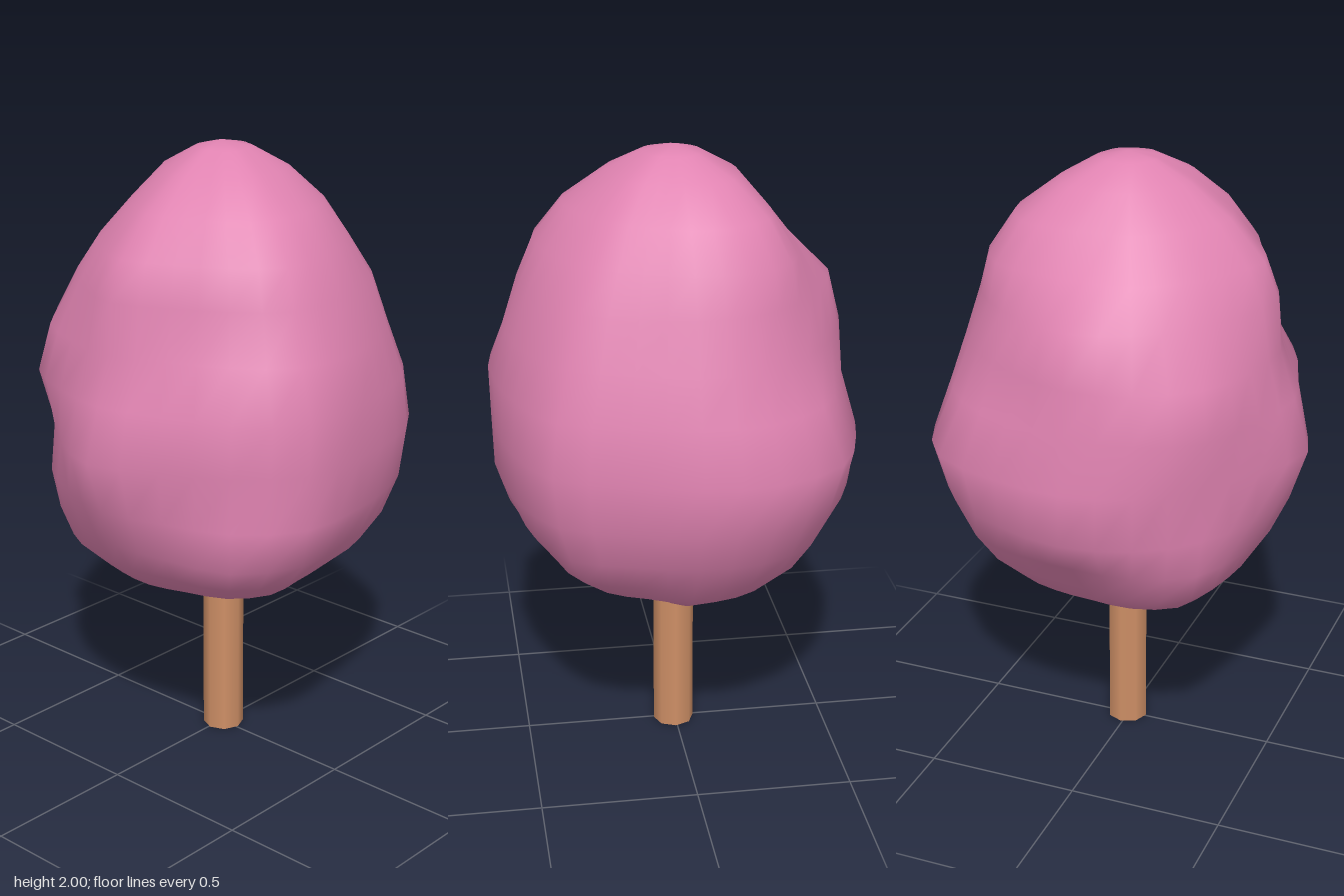
import * as THREE from 'three';

// Crown cross-section heights, and radii on eight headings from +x round through +z
const HEIGHTS = [0.56, 0.62, 0.70, 0.80, 0.93, 1.10, 1.27, 1.42, 1.58, 1.70, 1.82, 1.92, 1.98];
const PROFILES = [
  [0.20, 0.33, 0.42, 0.51, 0.565, 0.575, 0.575, 0.535, 0.485, 0.43, 0.34, 0.20, 0.10],
  [0.20, 0.36, 0.48, 0.58, 0.585, 0.575, 0.59, 0.505, 0.46, 0.43, 0.34, 0.22, 0.10],
  [0.14, 0.34, 0.42, 0.485, 0.545, 0.60, 0.55, 0.50, 0.49, 0.44, 0.33, 0.20, 0.09],
  [0.24, 0.39, 0.485, 0.525, 0.55, 0.535, 0.58, 0.54, 0.45, 0.385, 0.28, 0.18, 0.08],
  [0.22, 0.33, 0.39, 0.47, 0.575, 0.575, 0.535, 0.53, 0.49, 0.37, 0.27, 0.19, 0.08],
  [0.22, 0.37, 0.46, 0.53, 0.59, 0.64, 0.56, 0.50, 0.46, 0.435, 0.35, 0.22, 0.09],
  [0.27, 0.37, 0.44, 0.50, 0.555, 0.58, 0.54, 0.50, 0.44, 0.405, 0.33, 0.20, 0.10],
  [0.20, 0.36, 0.47, 0.535, 0.585, 0.61, 0.585, 0.53, 0.475, 0.40, 0.32, 0.21, 0.10],
];
// Swell or dip halfway between neighbouring headings
const BETWEEN = [1.06, 0.94, 0.97, 1.01, 0.97, 1.02, 0.94, 0.98];
const SIDES = 32;

// Smooth closed outline of the crown at one height
function crownRing(level) {
  const anchors = [];
  for (let k = 0; k < 16; k++) {
    const d = k >> 1;
    const r0 = PROFILES[d][level];
    const r = k % 2 ? (r0 + PROFILES[(d + 1) % 8][level]) / 2 * BETWEEN[d] : r0;
    const a = k * Math.PI / 8;
    anchors.push(new THREE.Vector3(r * Math.cos(a), HEIGHTS[level], r * Math.sin(a)));
  }
  const curve = new THREE.CatmullRomCurve3(anchors, true, 'catmullrom', 0.5);
  return Array.from({ length: SIDES }, (_, j) => curve.getPoint(j / SIDES));
}

// Lumpy crown skinned over the rings and closed by a point at each end
function crownGeometry() {
  const points = [];
  const index = [];
  HEIGHTS.forEach((_, i) => points.push(...crownRing(i)));
  const bottom = points.length;
  points.push(new THREE.Vector3(0, 0.525, 0), new THREE.Vector3(0, 2, 0));
  const last = (HEIGHTS.length - 1) * SIDES;
  for (let j = 0; j < SIDES; j++) {
    const n = (j + 1) % SIDES;
    for (let i = 0; i < HEIGHTS.length - 1; i++) {
      const a = i * SIDES + j;
      const b = i * SIDES + n;
      index.push(a, a + SIDES, b, b, a + SIDES, b + SIDES);
    }
    index.push(bottom, j, n, bottom + 1, last + n, last + j);
  }
  const geometry = new THREE.BufferGeometry().setFromPoints(points);
  geometry.setIndex(index);
  geometry.computeVertexNormals();
  return geometry;
}

export function createModel() {
  const blossom = new THREE.MeshStandardMaterial({ color: 0xe083b1 });
  blossom.name = 'blossomPink';
  const bark = new THREE.MeshStandardMaterial({ color: 0xce8f66 });
  bark.name = 'barkBrown';

  const tree = new THREE.Group();
  tree.name = 'blossomTree';

  const crown = new THREE.Mesh(crownGeometry(), blossom);
  crown.name = 'crown';

  // Plain post that ends just inside the crown
  const trunk = new THREE.Mesh(new THREE.CylinderGeometry(0.067, 0.067, 0.56, 8), bark);
  trunk.name = 'trunk';
  trunk.position.set(0.005, 0.28, -0.006);

  tree.add(crown, trunk);
  return tree;
}
